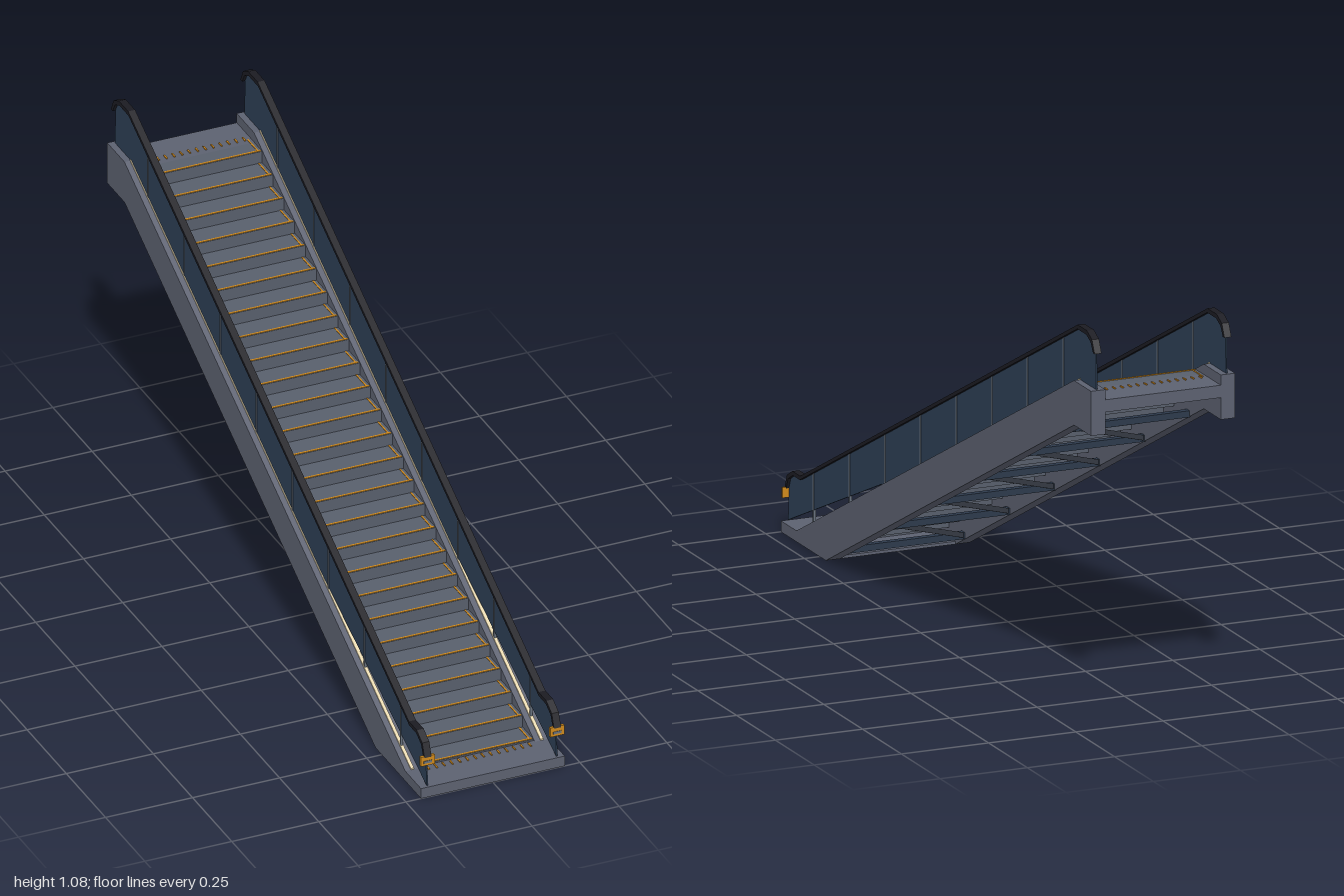
import * as THREE from 'three';

const mat = (name, color) => {
  const m = new THREE.MeshStandardMaterial({ color });
  m.name = name;
  return m;
};

export function createModel() {
  const root = new THREE.Group();
  root.name = 'escalator';
  const cladding = mat('cladding grey', 0x5c6170);
  const stepGrey = mat('step grey', 0x585f6c);
  const glassBlue = mat('tinted glass', 0x2d3f55);
  const rubber = mat('handrail black', 0x1b1b22);
  const safety = mat('safety orange', 0xd08a1c);
  const light = mat('light strip cream', 0xe8d8b0);
  const postGrey = mat('post grey', 0x68727e);
  const steel = mat('brace steel', 0x3c414c);
  const beamBlue = mat('beam blue steel', 0x2d3a4c);

  const add = (name, geo, material, parent = root) => {
    const m = new THREE.Mesh(geo, material);
    m.name = name;
    parent.add(m);
    return m;
  };
  const box = (name, w, h, d, x, y, z, material, parent) => {
    const m = add(name, new THREE.BoxGeometry(w, h, d), material, parent);
    m.position.set(x, y, z);
    return m;
  };
  // Side profile of [z, y] points, extruded across x and centred on the given x
  const profile = (name, pts, width, x, material, parent) => {
    const shape = new THREE.Shape(pts.map(p => new THREE.Vector2(p[0], p[1])));
    const geo = new THREE.ExtrudeGeometry(shape, { depth: width, bevelEnabled: false });
    geo.translate(0, 0, -width / 2).rotateY(-Math.PI / 2);
    const m = add(name, geo, material, parent);
    m.position.x = x;
    return m;
  };
  // Square bar between two points
  const bar = (name, a, b, w, material) => {
    const m = box(name, w, w, a.distanceTo(b), 0, 0, 0, material);
    m.position.copy(a).lerp(b, 0.5);
    m.lookAt(b);
    return m;
  };
  const trussTop = z => 0.03 + (0.9 - z) * 0.5;
  const trussBottom = z => (0.71 - z) * 0.5;

  const trussPts = [[1, 0], [1, 0.03], [0.9, 0.03], [-0.89, 0.925], [-1, 0.925],
    [-1, 0.803], [-0.89, 0.803], [0.71, 0]];
  const railTop = [[1, 0.12], [0.985, 0.158], [0.95, 0.178], [0.9, 0.178],
    [-0.89, 1.076], [-0.95, 1.076], [-0.983, 1.06], [-1, 1.025]];
  const railInner = [[0.99, 0.12], [0.977, 0.15], [0.947, 0.167], [0.902, 0.167],
    [-0.888, 1.064], [-0.946, 1.064], [-0.974, 1.051], [-0.989, 1.025]];

  // Both balustrades with their cladding
  for (const side of [-1, 1]) {
    const g = new THREE.Group();
    g.name = side > 0 ? 'leftBalustrade' : 'rightBalustrade';
    root.add(g);
    const x = side * 0.186;
    profile('sideCladding', trussPts, 0.041, x, cladding, g);
    profile('glassPanel', [[0.995, 0.032], ...railInner, [-0.992, 0.89]], 0.004, x, glassBlue, g);
    profile('handrail', [...railTop, ...railInner.slice().reverse()], 0.02, x, rubber, g);
    profile('lightStrip', [[0.9, 0.029], [0.9, 0.034], [-0.89, 0.929], [-0.89, 0.924]],
      0.009, x, light, g);
    for (let i = 0; i < 8; i++) {
      const z = 0.83 - i * 0.23, y0 = trussTop(z), y1 = y0 + 0.14;
      box('glassPost', 0.007, y1 - y0, 0.006, x, (y0 + y1) / 2, z, postGrey, g);
    }
    // Handrail inlet with its slot
    box('handrailInlet', 0.04, 0.028, 0.008, x, 0.109, 0.994, safety, g);
    box('inletSlot', 0.024, 0.007, 0.002, x, 0.106, 0.9985, postGrey, g);
  }

  // Landings and comb plates
  box('lowerLanding', 0.332, 0.03, 0.11, 0, 0.015, 0.945, cladding);
  box('lowerPan', 0.332, 0.008, 0.29, 0, 0.004, 0.855, cladding);
  box('upperLanding', 0.332, 0.034, 0.112, 0, 0.88, -0.944, cladding);
  for (const [z, y] of [[0.91, 0.031], [-0.912, 0.898]]) {
    for (let i = 0; i < 14; i++) {
      box('combTooth', 0.004, 0.004, 0.018, -0.146 + i * 0.0225, y, z, safety);
    }
  }

  // Steps with safety edges
  const run = 0.0692, rise = 0.0345;
  for (let i = 0; i < 26; i++) {
    const z = 0.892 - i * run, y = rise * (i + 1);
    box('step', 0.33, rise, run + 0.002, 0, y - rise / 2, z - run / 2, stepGrey);
    box('stepNosing', 0.325, 0.002, 0.006, 0, y + 0.0005, z - 0.0035, safety);
    for (const s of [-1, 1]) {
      box('stepSideLine', 0.004, 0.002, run - 0.006, s * 0.155, y + 0.0003, z - run / 2 - 0.003, safety);
    }
  }

  // Underside cross beams and diagonal braces
  const spacing = 0.29;
  for (let i = 0; i < 6; i++) {
    const z = 0.66 - i * spacing, y = trussBottom(z) + 0.014;
    bar('crossBeam', new THREE.Vector3(-0.168, y, z), new THREE.Vector3(0.168, y, z), 0.018, beamBlue);
    if (i < 5) {
      bar('diagonalBrace', new THREE.Vector3(-0.162, y, z),
        new THREE.Vector3(0.162, y + spacing / 2, z - spacing), 0.014, steel);
    }
  }
  return root;
}
